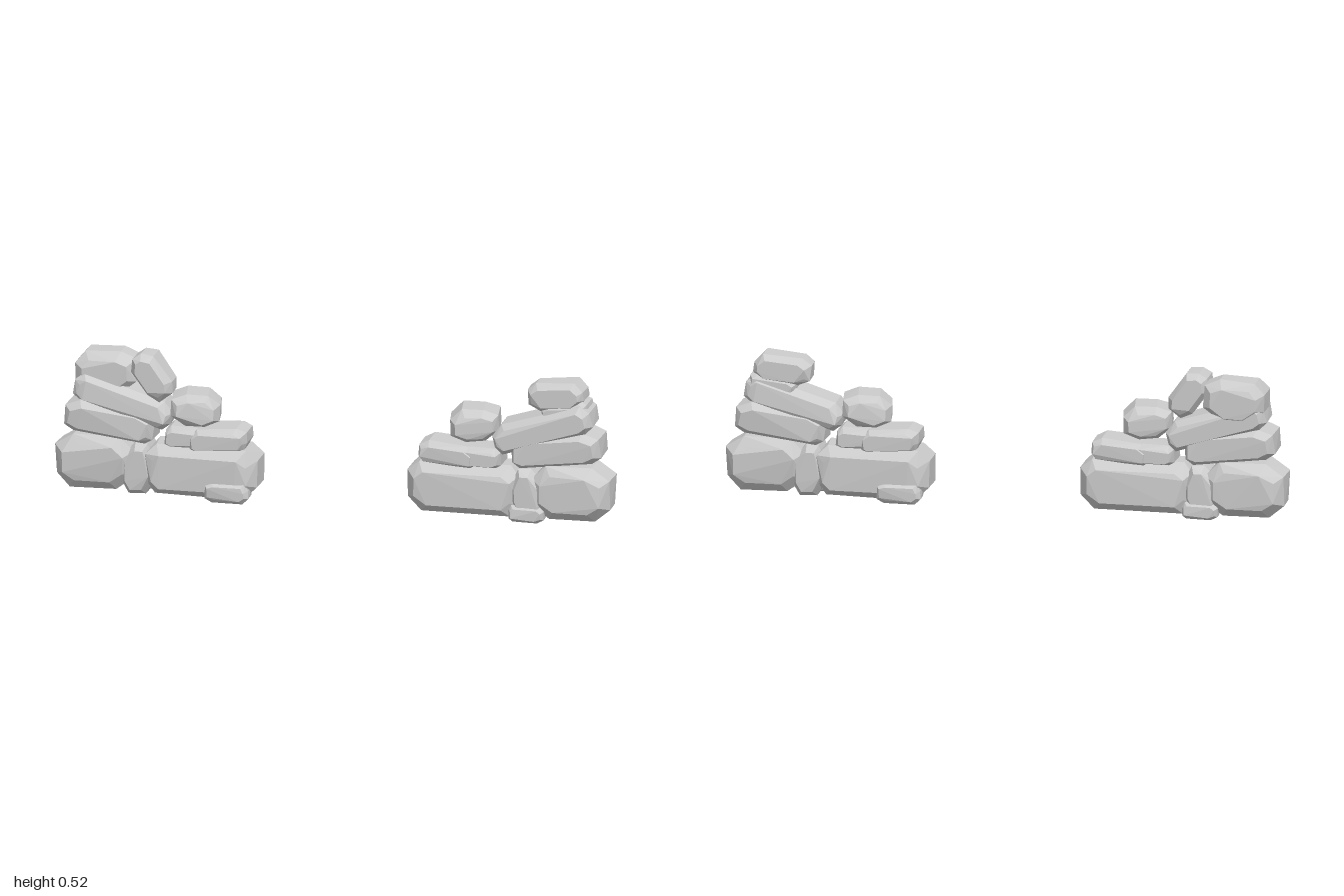
import * as THREE from 'three';
import { ConvexGeometry } from 'three/addons/geometries/ConvexGeometry.js';

const material = new THREE.MeshStandardMaterial({ color: 0xcccccc, flatShading: true });

// small seeded generator for the rough-cut look
function seeded(seed) {
  let s = seed * 7919 + 17;
  const next = () => (s = (s * 16807) % 2147483647) / 2147483647;
  for (let i = 0; i < 5; i++) next();
  return next;
}

// A rough block: a rectangle with unevenly chipped corners, swept along z
// through four rings, the outer two inset to bevel the front and back faces.
function stoneGeometry(w, h, d, seed) {
  const rand = seeded(seed);
  const corners = [];
  for (const sx of [-1, 1]) for (const sy of [-1, 1]) {
    const cutX = Math.min(w, h) * (0.16 + 0.3 * rand());
    const cutY = h * (0.14 + 0.22 * rand());
    corners.push(new THREE.Vector2(sx * w / 2, sy * (h / 2 - cutY)));
    corners.push(new THREE.Vector2(sx * (w / 2 - cutX), sy * h / 2));
  }
  const points = [];
  for (const t of [-0.5, -0.27, 0.27, 0.5]) {
    const inset = Math.abs(t) === 0.5 ? Math.min(w, h) * 0.17 : 0;
    for (const c of corners) {
      const chip = 1 - 0.04 * rand();
      const z = THREE.MathUtils.clamp(t + (rand() - 0.5) * 0.14, -0.5, 0.5) * d;
      points.push(new THREE.Vector3(c.x * chip * (1 - 2 * inset / w), c.y * chip * (1 - 2 * inset / h), z));
    }
  }
  return new ConvexGeometry(points);
}

// One pile, with its tall outer end on +x and its steps falling towards the middle
function createPile(name, addTop) {
  const pile = new THREE.Group();
  pile.name = name;

  const add = (label, x, y, z, w, h, d, tilt = 0, yaw = 0) => {
    const mesh = new THREE.Mesh(stoneGeometry(w, h, d, pile.children.length + 3), material);
    mesh.name = label;
    mesh.position.set(x, y, z);
    mesh.rotation.set(0, yaw, tilt);
    pile.add(mesh);
  };

  // bottom course
  add('baseEndStone', 0.857, 0.111, -0.005, 0.286, 0.198, 0.18);
  add('baseGapStone', 0.7, 0.095, -0.005, 0.13, 0.19, 0.16);
  add('baseLongStone', 0.47, 0.103, -0.015, 0.41, 0.184, 0.2);
  add('footWedge', 0.7, 0.03, 0.045, 0.13, 0.06, 0.08);
  add('backFootWedge', 0.37, 0.045, -0.08, 0.16, 0.075, 0.1);

  // middle course and sloping slab
  add('middleEndStone', 0.8, 0.265, -0.01, 0.33, 0.12, 0.19, 0.12);
  add('tiltedSlab', 0.752, 0.338, -0.007, 0.37, 0.105, 0.185, 0.3);

  // steps
  add('stepLedgeStone', 0.52, 0.22, -0.005, 0.17, 0.075, 0.16);
  add('stepEndStone', 0.41, 0.222, -0.01, 0.21, 0.085, 0.18, -0.08);
  add('stepTopStone', 0.496, 0.328, -0.028, 0.175, 0.12, 0.185, 0.03, 0.17);

  addTop(add);
  return pile;
}

export function createModel() {
  const model = new THREE.Group();
  model.name = 'ruinedStoneWall';

  // pile on +x, topped by a cap stone
  model.add(createPile('leftWallPile', add => {
    add('capSupport', 0.83, 0.4, -0.015, 0.17, 0.07, 0.14, 0.2);
    add('capStone', 0.797, 0.455, -0.015, 0.205, 0.1, 0.14, 0.08);
  }));

  // pile on -x, turned half round, topped by a block and a leaning stone
  const rightPile = createPile('rightWallPile', add => {
    add('topBlock', 0.82, 0.428, 0.012, 0.22, 0.16, 0.155, -0.04);
    add('leaningStone', 0.65, 0.437, -0.025, 0.18, 0.105, 0.145, 0.95);
  });
  rightPile.rotation.y = Math.PI;
  model.add(rightPile);

  return model;
}
